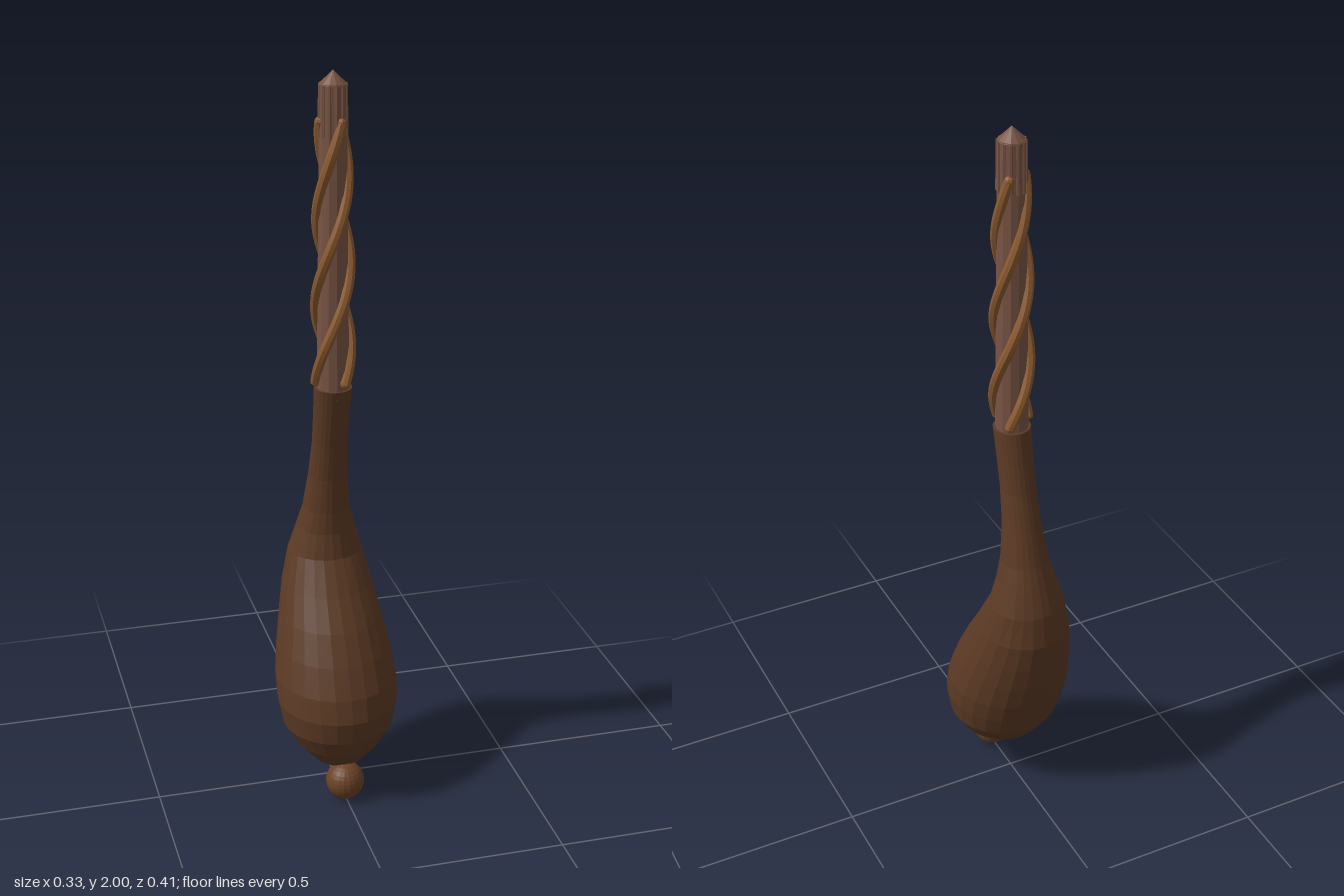
import * as THREE from 'three';

const material = (name, color) => {
  const m = new THREE.MeshStandardMaterial({ color, flatShading: true });
  m.name = name;
  return m;
};

export function createModel() {
  const model = new THREE.Group();
  const dark = material('dark brown', 0x5c3a24);
  const knobBrown = material('knob brown', 0x6b4226);
  const shaftBrown = material('shaft brown', 0x785443);
  const vineBrown = material('vine brown', 0x8b5a2f);
  const add = (name, geometry, mat, x = 0, y = 0, z = 0) => {
    const mesh = new THREE.Mesh(geometry, mat);
    mesh.name = name;
    mesh.position.set(x, y, z);
    model.add(mesh);
    return mesh;
  };

  // Bent gourd body: elliptical sections [y, front z, back z, half width]
  const sections = [
    [0.075, 0.09, 0.045, 0.022], [0.1, 0.125, 0.01, 0.065], [0.155, 0.172, -0.065, 0.118],
    [0.21, 0.197, -0.105, 0.152], [0.275, 0.207, -0.132, 0.165], [0.34, 0.192, -0.156, 0.166],
    [0.42, 0.155, -0.178, 0.155], [0.5, 0.11, -0.196, 0.14], [0.58, 0.056, -0.207, 0.124],
    [0.67, 0.0, -0.195, 0.102], [0.74, -0.014, -0.172, 0.08], [0.8, -0.016, -0.15, 0.064],
    [0.9, -0.011, -0.121, 0.052], [1.0, 0.005, -0.092, 0.047], [1.08, 0.022, -0.074, 0.048],
    [1.17, 0.042, -0.057, 0.05],
  ];
  const sides = 24;
  const points = [], faces = [];
  for (const [y, front, back, w] of sections) {
    for (let i = 0; i < sides; i++) {
      const a = (i / sides) * Math.PI * 2;
      points.push(w * Math.sin(a), y, (front + back) / 2 + ((front - back) / 2) * Math.cos(a));
    }
  }
  for (let r = 0; r < sections.length - 1; r++) {
    for (let i = 0; i < sides; i++) {
      const a = r * sides + i, b = r * sides + ((i + 1) % sides);
      faces.push(a, b, b + sides, a, b + sides, a + sides);
    }
  }
  // Closed ends
  const top = (sections.length - 1) * sides;
  for (let i = 1; i < sides - 1; i++) {
    faces.push(0, i + 1, i, top, top + i, top + i + 1);
  }
  const body = new THREE.BufferGeometry();
  body.setAttribute('position', new THREE.Float32BufferAttribute(points, 3));
  body.setIndex(faces);
  body.computeVertexNormals();
  add('gourdBody', body, dark);

  // Round knob beneath the body
  add('bottomKnob', new THREE.SphereGeometry(0.053, 20, 14), knobBrown, 0, 0.054, 0.124);

  // Straight shaft with a pointed tip
  const z = -0.007;
  add('shaft', new THREE.CylinderGeometry(0.035, 0.044, 0.82, 12), shaftBrown, 0, 1.555, z);
  add('shaftTip', new THREE.ConeGeometry(0.036, 0.035, 12), shaftBrown, 0, 1.98, z);

  // Small upright ribs around the top of the shaft
  for (let i = 0; i < 12; i++) {
    const a = (i / 12) * Math.PI * 2;
    add('shaftRib', new THREE.CylinderGeometry(0.005, 0.007, 0.13, 6), shaftBrown,
      0.033 * Math.sin(a), 1.898, z + 0.033 * Math.cos(a));
  }

  // Three vines twisting up the shaft
  for (let k = 0; k < 3; k++) {
    const path = [];
    for (let i = 0; i <= 24; i++) {
      const t = i / 24, y = 1.19 + 0.68 * t;
      const a = Math.PI + ((y - 1.25) / 0.69 + k / 3) * Math.PI * 2;
      const r = 0.047 - 0.014 * t * t;
      path.push(new THREE.Vector3(r * Math.sin(a), y, z + r * Math.cos(a)));
    }
    const curve = new THREE.CatmullRomCurve3(path);
    add('vine', new THREE.TubeGeometry(curve, 48, 0.014, 8), vineBrown);
    for (const end of [path[0], path[24]]) {
      add('vineEnd', new THREE.SphereGeometry(0.014, 8, 6), vineBrown, end.x, end.y, end.z);
    }
  }
  return model;
}
